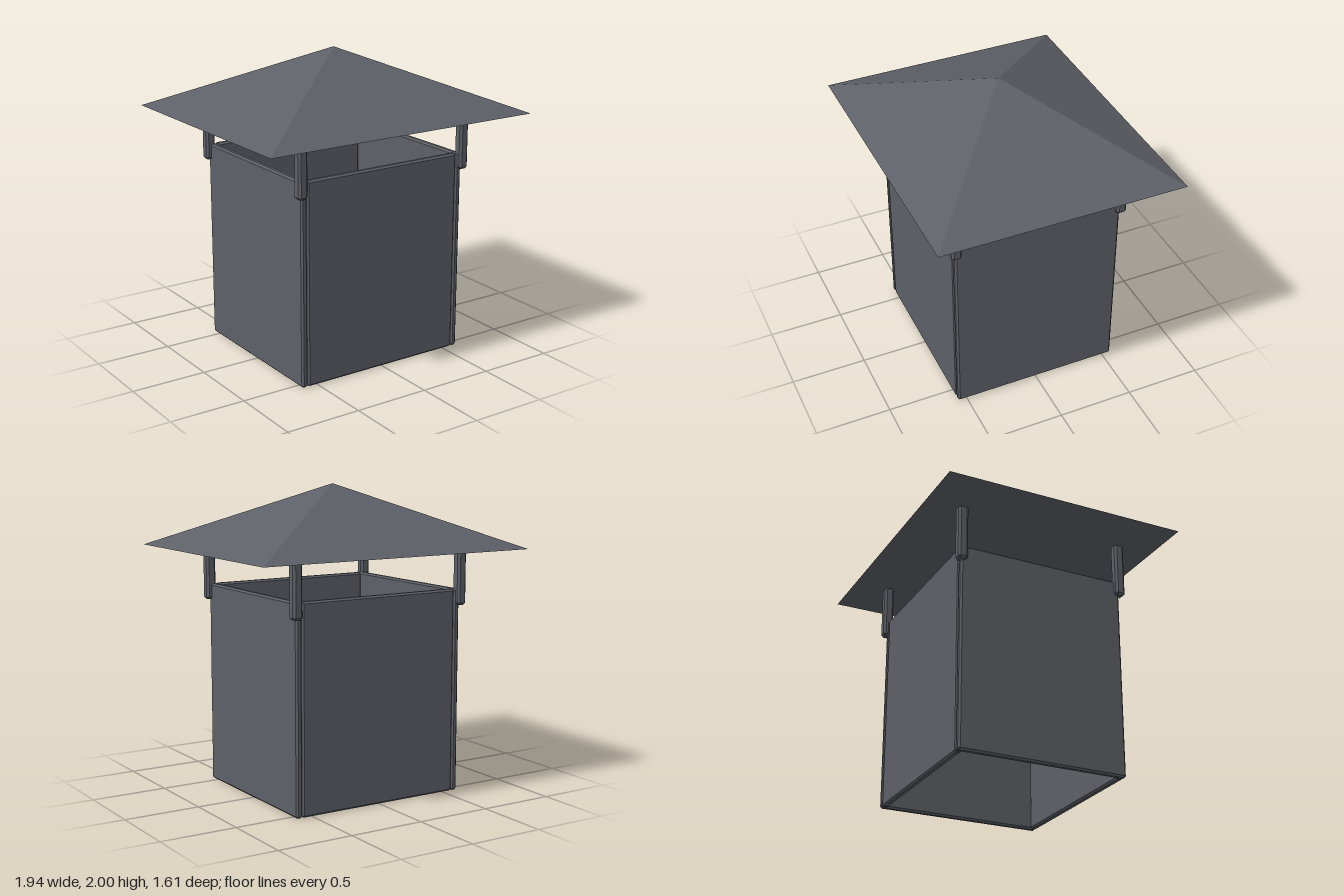
import * as THREE from 'three';
import { ConvexGeometry } from 'three/addons/geometries/ConvexGeometry.js';

// Box with every edge cut by a flat chamfer
function chamferBox(w, h, d, c) {
  const points = [];
  for (const sx of [-1, 1]) for (const sy of [-1, 1]) for (const sz of [-1, 1]) {
    const x = w / 2, y = h / 2, z = d / 2;
    points.push(
      new THREE.Vector3(sx * x, sy * (y - c), sz * (z - c)),
      new THREE.Vector3(sx * (x - c), sy * y, sz * (z - c)),
      new THREE.Vector3(sx * (x - c), sy * (y - c), sz * z)
    );
  }
  return new ConvexGeometry(points);
}

export function createModel() {
  const model = new THREE.Group();
  model.name = 'chimneyCap';
  const metal = new THREE.MeshStandardMaterial({ color: 0x5d6067 });
  metal.name = 'slate grey metal';

  const add = (name, geometry, x, y, z) => {
    const mesh = new THREE.Mesh(geometry, metal);
    mesh.name = name;
    mesh.position.set(x, y, z);
    model.add(mesh);
  };

  const halfX = 0.612, halfZ = 0.56, height = 1.335, wall = 0.044, bevel = 0.012;

  // Open shaft: full-depth side panels with front and back panels between them
  const sidePanel = chamferBox(wall, height, halfZ * 2, bevel);
  const endPanel = chamferBox((halfX - wall) * 2 + 0.004, height, wall, bevel);
  for (const s of [-1, 1]) {
    add(s > 0 ? 'leftPanel' : 'rightPanel', sidePanel, s * (halfX - wall / 2), height / 2, 0);
    add(s > 0 ? 'frontPanel' : 'backPanel', endPanel, 0, height / 2, s * (halfZ - wall / 2));
  }

  // Four corner posts carrying the roof
  const post = chamferBox(0.066, 0.37, 0.066, 0.014);
  for (const sx of [-1, 1]) for (const sz of [-1, 1]) {
    add(`${sz > 0 ? 'front' : 'back'}${sx > 0 ? 'Left' : 'Right'}Post`, post, sx * 0.612, 1.415, sz * 0.557);
  }

  // Closed pyramid roof
  const roof = new ConvexGeometry([
    new THREE.Vector3(0, 0.41, 0),
    new THREE.Vector3(-0.97, 0, -0.803),
    new THREE.Vector3(0.97, 0, -0.803),
    new THREE.Vector3(0.97, 0, 0.803),
    new THREE.Vector3(-0.97, 0, 0.803)
  ]);
  add('roof', roof, 0, 1.59, 0);

  return model;
}
